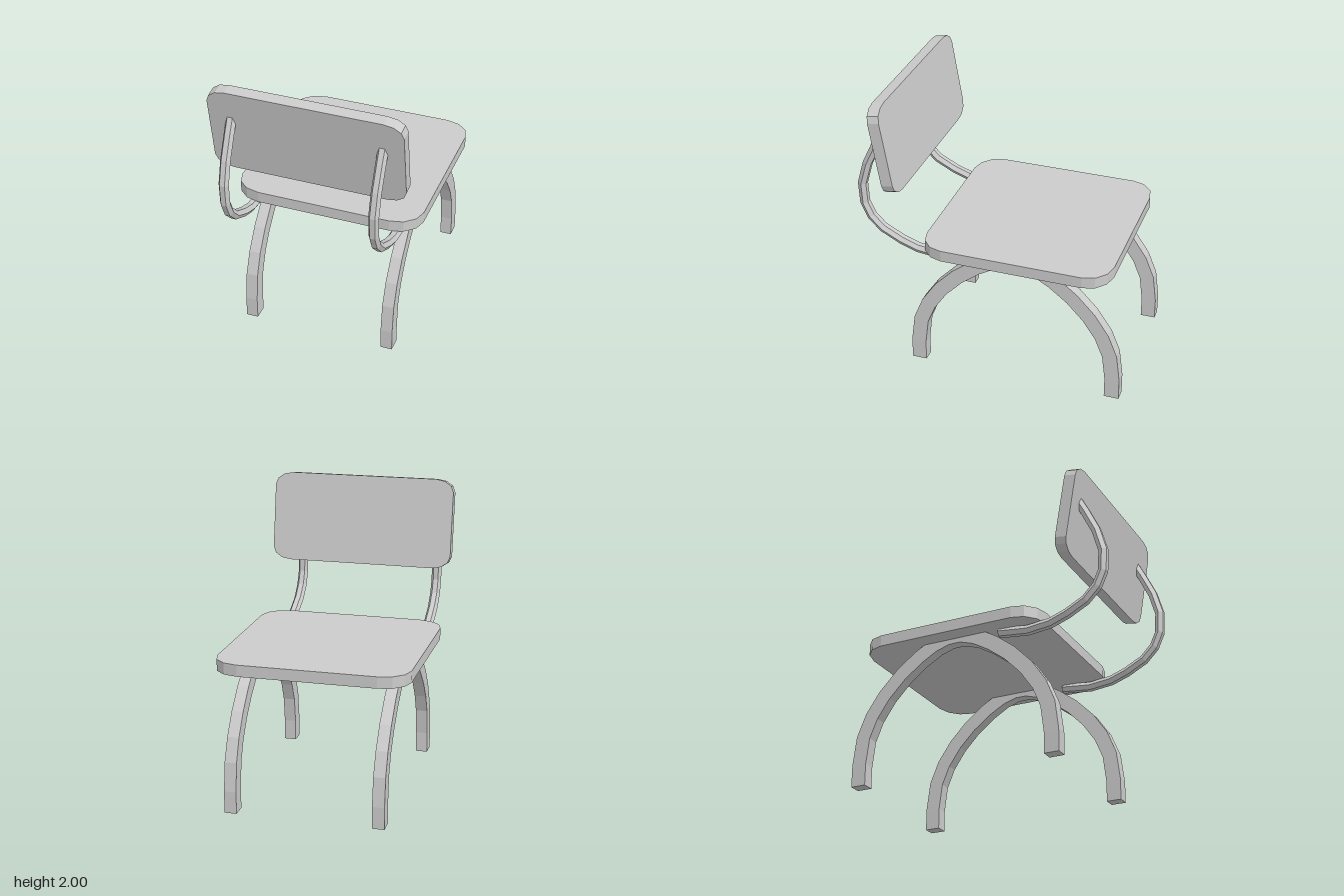
import * as THREE from 'three';

const material = new THREE.MeshStandardMaterial({ color: 0xcccccc, flatShading: true });

// Sweep a convex profile [x, normal] along a path of [z, y] points, with closed ends.
function sweep(profile, path, widthAt = () => 1) {
  const n = profile.length, positions = [], index = [];
  path.forEach(([z, y], i) => {
    const a = path[Math.max(i - 1, 0)], b = path[Math.min(i + 1, path.length - 1)];
    const length = Math.hypot(b[0] - a[0], b[1] - a[1]);
    const tz = (b[0] - a[0]) / length, ty = (b[1] - a[1]) / length;
    for (const [px, pn] of profile) positions.push(px * widthAt(y), y + pn * tz, z - pn * ty);
  });
  for (let i = 0; i < path.length - 1; i++) {
    for (let j = 0; j < n; j++) {
      const a = i * n + j, b = i * n + (j + 1) % n;
      index.push(a, b, b + n, a, b + n, a + n);
    }
  }
  const last = (path.length - 1) * n;
  for (let j = 1; j < n - 1; j++) index.push(0, j + 1, j, last, last + j, last + j + 1);
  const geometry = new THREE.BufferGeometry();
  geometry.setAttribute('position', new THREE.Float32BufferAttribute(positions, 3));
  geometry.setIndex(index);
  const flat = geometry.toNonIndexed();
  flat.computeVertexNormals();
  return flat;
}

// Flat board with faceted elliptical corners, centred on the origin and facing z.
function board(width, height, depth, rx, ry) {
  const points = [];
  for (let corner = 0; corner < 4; corner++) {
    const sx = corner === 0 || corner === 3 ? 1 : -1, sy = corner < 2 ? 1 : -1;
    for (let k = 0; k <= 3; k++) {
      const angle = (corner + k / 3) * Math.PI / 2;
      points.push(new THREE.Vector2(
        sx * (width / 2 - rx) + rx * Math.cos(angle),
        sy * (height / 2 - ry) + ry * Math.sin(angle)));
    }
  }
  return new THREE.ExtrudeGeometry(new THREE.Shape(points), { depth, bevelEnabled: false })
    .translate(0, 0, -depth / 2);
}

export function createModel() {
  const group = new THREE.Group();
  const add = (name, geometry) => {
    const mesh = new THREE.Mesh(geometry, material);
    mesh.name = name;
    group.add(mesh);
    return mesh;
  };

  // Seat
  const seat = add('seat', board(1.324, 1.324, 0.08, 0.19, 0.17));
  seat.rotation.x = -Math.PI / 2;
  seat.position.set(0, 0.978, -0.188);

  // Leaning backrest
  const backrest = add('backrest', board(1.324, 0.64, 0.082, 0.13, 0.09));
  backrest.rotation.x = 0.165;
  backrest.position.set(0, 1.678, 0.706);

  // Each arch forms a front and a back leg, mirrored about its crown
  const crownZ = -0.175;
  const half = [[0.708, 0], [0.708, 0.15], [0.684, 0.34], [0.625, 0.485], [0.53, 0.625],
    [0.41, 0.75], [0.28, 0.85], [0.16, 0.92], [0.05, 0.955]];
  const archPath = [
    ...half.map(([d, y]) => [crownZ + d, y]),
    ...half.slice().reverse().map(([d, y]) => [crownZ - d, y]),
  ];
  const bar = [[0.042, -0.052], [0.042, 0.052], [-0.042, 0.052], [-0.042, -0.052]];
  const archGeometry = sweep(bar, archPath, (y) => 1 - 0.12 * y * y);

  // Hexagonal tube curving from under the seat up to the backrest
  const tubePath = [[0.15, 0.922], [0.36, 0.898], [0.52, 0.915], [0.64, 0.957], [0.775, 1.027],
    [0.857, 1.11], [0.902, 1.21], [0.91, 1.36], [0.865, 1.52], [0.79, 1.68], [0.735, 1.785]];
  const hexagon = Array.from({ length: 6 }, (_, k) =>
    [0.036 * Math.cos(k * Math.PI / 3), 0.034 * Math.sin(k * Math.PI / 3)]);
  const tubeGeometry = sweep(hexagon, tubePath);

  for (const [side, s] of [['left', 1], ['right', -1]]) {
    add(side + 'LegArch', archGeometry).position.x = s * 0.506;
    add(side + 'BackrestSupport', tubeGeometry).position.x = s * 0.514;
  }
  return group;
}
